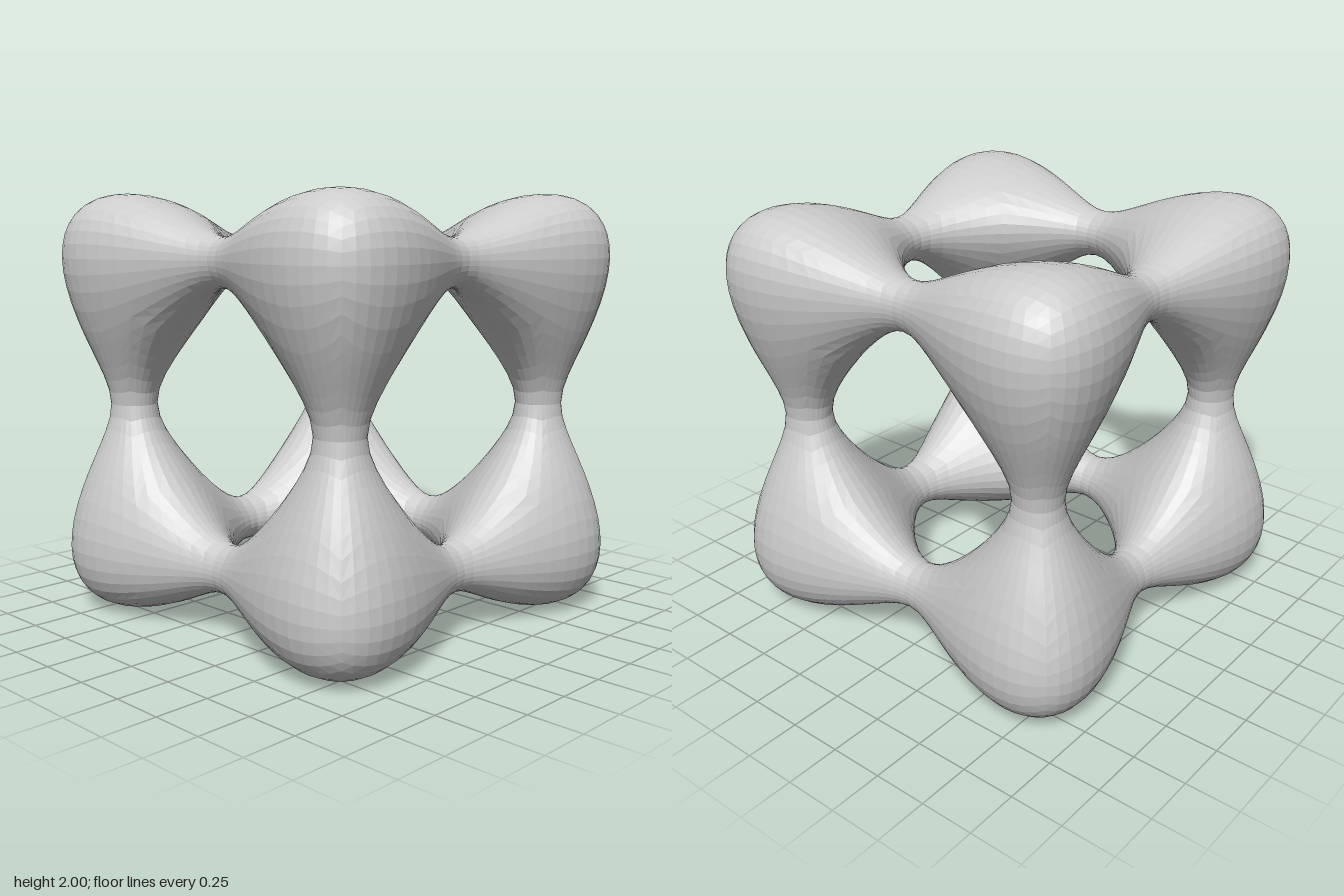
import * as THREE from 'three';

// Eight rounded lobes joined by twelve necks: the quartic surface
// (x²-M)² + (y²-M)² + (z²-M)² = R², which is a sphere in squared coordinates.
const M = 2.5, R = 2.621;
const SCALE = 1 / Math.sqrt(M + R);
const N = 8;      // divisions along each patch edge
const RINGS = 6;  // rings from a neck's waist out to its patch edge

// One lobe, in the octant where x, y and z are all positive
function lobeGeometry() {
  const positions = [], indices = [];

  // Add a grid patch; point(i, j) gives sphere coordinates along axis, axis+1, axis+2
  function addPatch(axis, rows, cols, point) {
    const base = positions.length / 3;
    for (let i = 0; i <= rows; i++) {
      for (let j = 0; j <= cols; j++) {
        const p = [0, 0, 0];
        point(i, j).forEach((c, k) => {
          p[(axis + k) % 3] = Math.sqrt(Math.max(0, c + M)) * SCALE;
        });
        positions.push(...p);
      }
    }
    for (let i = 0; i < rows; i++) {
      for (let j = 0; j < cols; j++) {
        const a = base + i * (cols + 1) + j, b = a + cols + 1;
        indices.push(a, b, b + 1, a, b + 1, a + 1);
      }
    }
  }

  const angle = (i) => -Math.PI / 4 + (i / N) * (Math.PI / 2);

  for (let axis = 0; axis < 3; axis++) {
    // Outer bulge
    addPatch(axis, N, N, (i, j) =>
      new THREE.Vector3(1, Math.tan(angle(i)), Math.tan(angle(j))).setLength(R).toArray());

    // Half neck, flaring from its waist to meet the bulges
    addPatch(axis, 4 * N, RINGS, (i, j) => {
      const s = angle(i % N), phi = angle(i);
      const edge = Math.sqrt(M - R / Math.sqrt(1 + 1 / Math.cos(s) ** 2));
      const u = (edge * j / RINGS) ** 2 - M;
      const r = Math.sqrt(R * R - u * u);
      return [u, r * Math.cos(phi), r * Math.sin(phi)];
    });
  }

  const geometry = new THREE.BufferGeometry();
  geometry.setAttribute('position', new THREE.Float32BufferAttribute(positions, 3));
  geometry.setIndex(indices);
  geometry.computeVertexNormals();
  return geometry;
}

export function createModel() {
  const model = new THREE.Group();
  model.name = 'latticeCube';
  const geometry = lobeGeometry();
  const material = new THREE.MeshStandardMaterial({ color: 0xcccccc, flatShading: true });

  // Four lobes per ring; the lower ring is the upper one turned over
  for (const level of ['upper', 'lower']) {
    const ring = new THREE.Group();
    ring.name = level + 'Ring';
    ring.position.y = 1;
    if (level === 'lower') ring.rotation.z = Math.PI;
    for (let k = 0; k < 4; k++) {
      const lobe = new THREE.Mesh(geometry, material);
      lobe.name = level + 'Lobe' + (k + 1);
      lobe.rotation.y = k * Math.PI / 2;
      ring.add(lobe);
    }
    model.add(ring);
  }
  return model;
}
